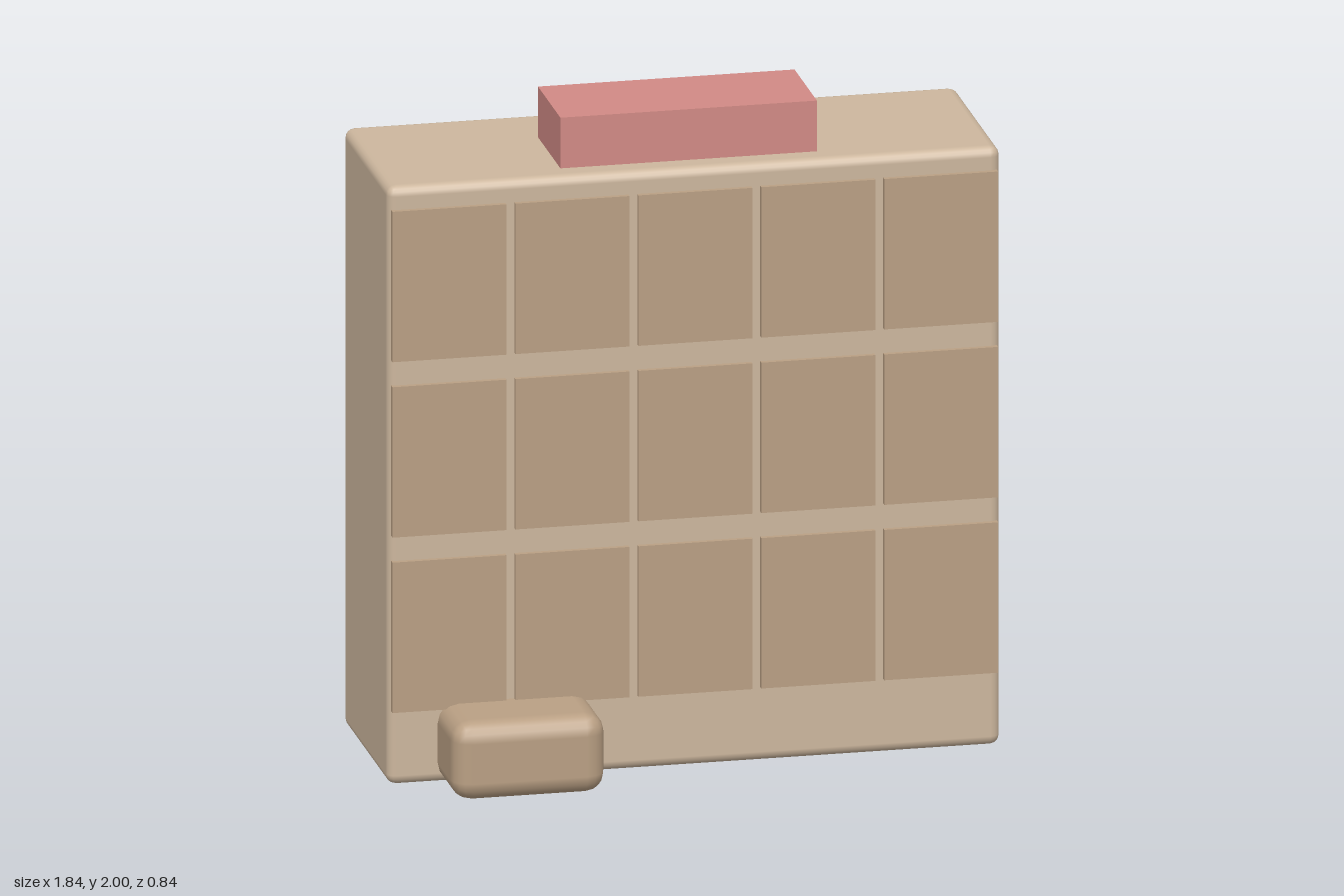
import * as THREE from 'three';
import { RoundedBoxGeometry } from 'three/addons/geometries/RoundedBoxGeometry.js';

const material = (color) => new THREE.MeshStandardMaterial({ color });

export function createModel() {
  const model = new THREE.Group();
  model.name = 'cabinet';

  const add = (name, geometry, mat, x, y, z, parent = model) => {
    const mesh = new THREE.Mesh(geometry, mat);
    mesh.name = name;
    mesh.position.set(x, y, z);
    parent.add(mesh);
    return mesh;
  };

  const bodyMat = material(0xcdb79e);
  const panelMat = material(0xbaa084);
  const signMat = material(0xd18a85);

  // Main body with softly rounded edges
  add('body', new RoundedBoxGeometry(1.84, 1.842, 0.61, 2, 0.03), bodyMat, 0, 0.923, -0.115);

  // Three rows of five front panels
  const panels = new THREE.Group();
  panels.name = 'frontPanels';
  model.add(panels);
  const panelGeometry = new THREE.BoxGeometry(0.342, 0.463, 0.04);
  for (let row = 0; row < 3; row++) {
    for (let col = 0; col < 5; col++) {
      add('panel', panelGeometry, panelMat, (col - 2) * 0.369, 0.463 + row * 0.54, 0.185, panels);
    }
  }

  // Small rounded box at the foot of the front
  add('footBox', new RoundedBoxGeometry(0.46, 0.242, 0.307, 2, 0.06), panelMat, -0.54, 0.126, 0.265);

  // Block on top
  add('topBlock', new THREE.BoxGeometry(0.77, 0.16, 0.307), signMat, 0, 1.92, -0.04);

  return model;
}
